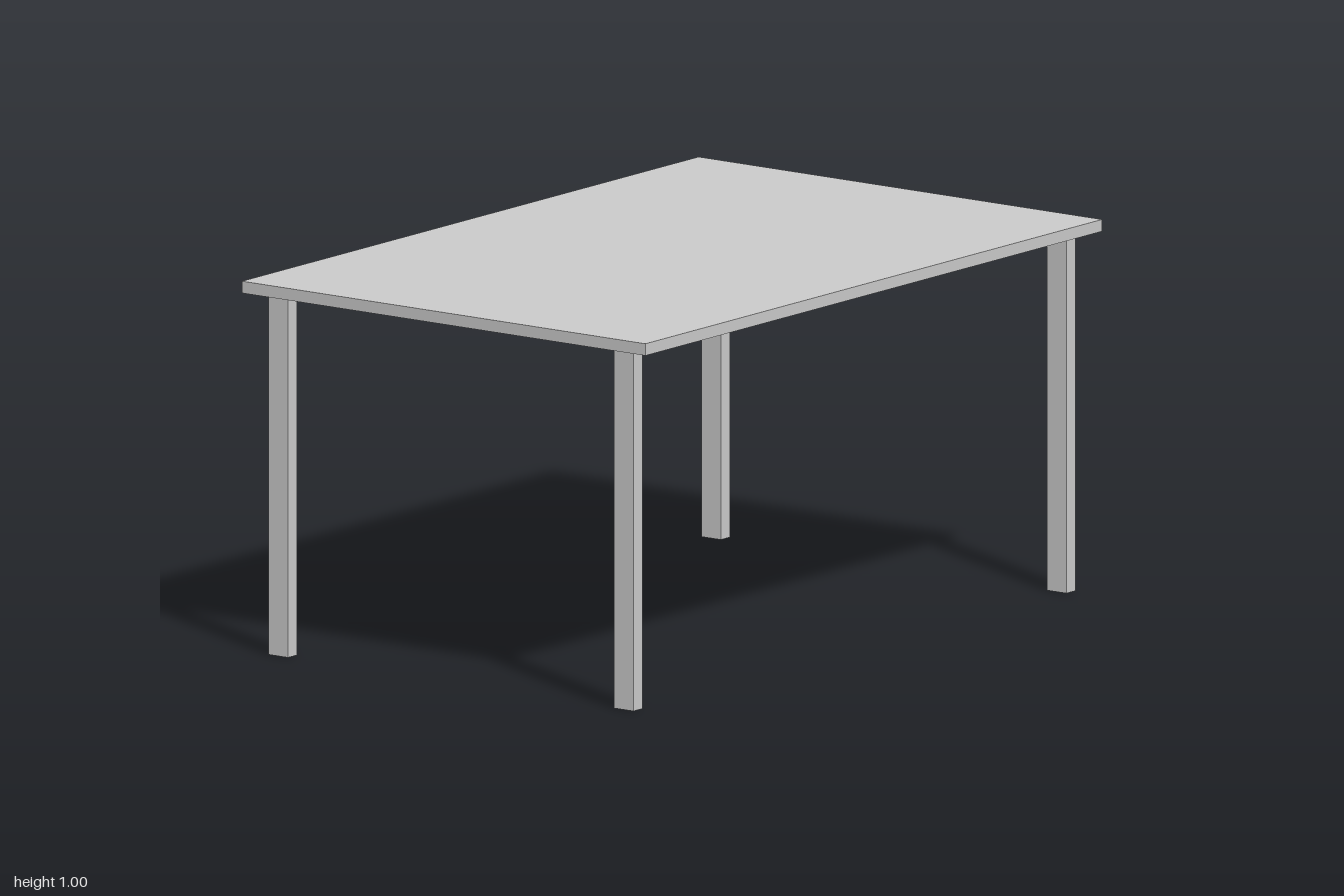
import * as THREE from 'three';

export function createModel() {
  const table = new THREE.Group();
  table.name = 'table';
  const material = new THREE.MeshStandardMaterial({ color: 0xcccccc });

  const addBox = (name, size, position) => {
    const mesh = new THREE.Mesh(new THREE.BoxGeometry(...size), material);
    mesh.name = name;
    mesh.position.set(...position);
    table.add(mesh);
  };

  // Thin rectangular top
  const legHeight = 0.972;
  const topThickness = 0.032;
  addBox('tableTop', [2, topThickness, 1.334], [0, legHeight + topThickness / 2, 0]);

  // Four flat legs, set in from the corners
  for (const [side, x] of [['Left', 0.948], ['Right', -0.948]]) {
    for (const [end, z] of [['front', 0.571], ['back', -0.571]]) {
      addBox(`${end}${side}Leg`, [0.04, legHeight, 0.064], [x, legHeight / 2, z]);
    }
  }

  return table;
}
